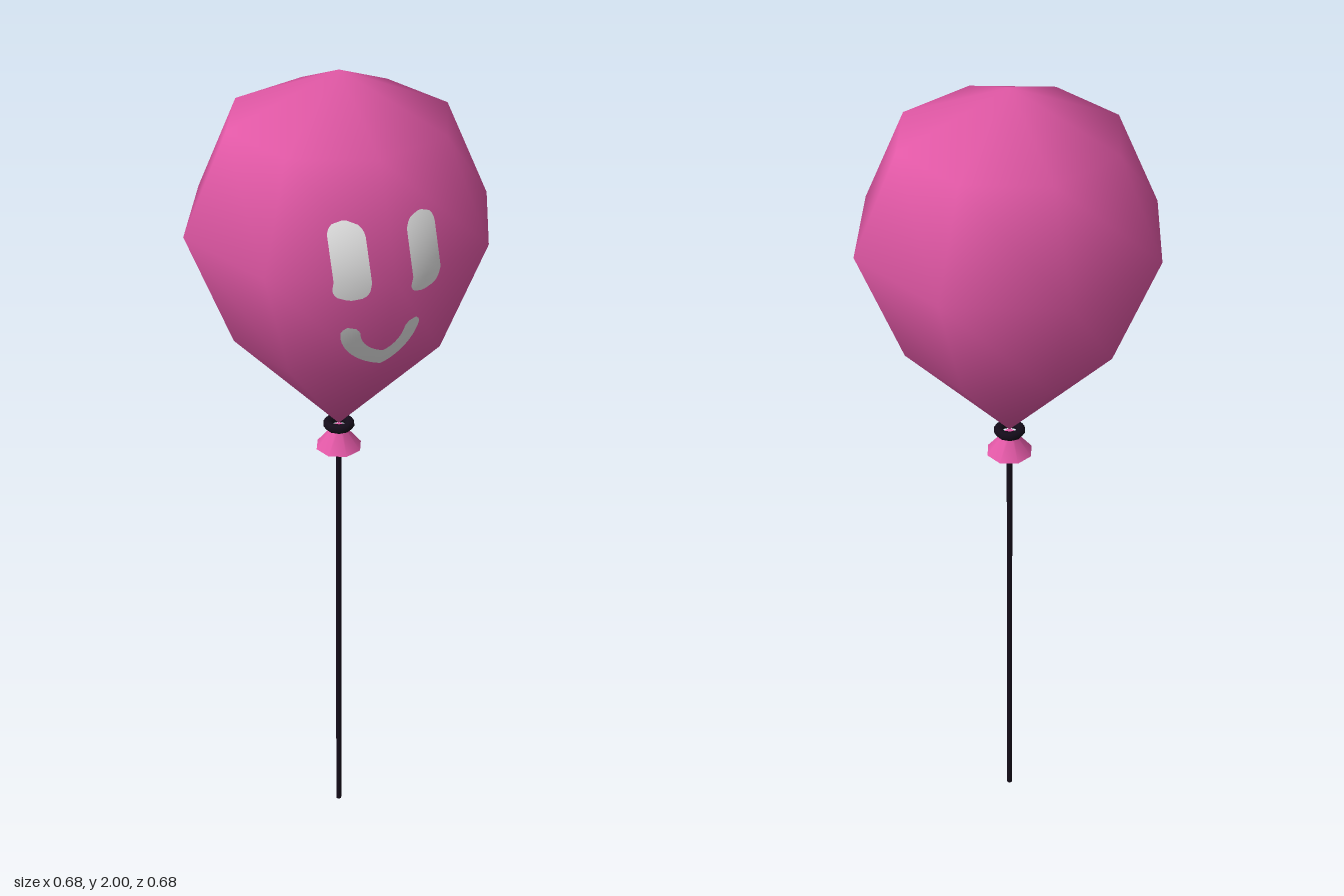
import * as THREE from 'three';
import { mergeVertices } from 'three/addons/utils/BufferGeometryUtils.js';

// Balloon profile from top to bottom: [radius, height]
const RINGS = [[0, 2], [0.24, 1.9], [0.34, 1.683], [0.24, 1.422], [0, 1.165]];
const WIDEST = RINGS[2][1];

// Depth of the eight-sided balloon's front at (x, y)
function frontZ(x, y) {
  const i = RINGS.findIndex((r, k) => k > 0 && y >= r[1]);
  const [r0, y0] = RINGS[i - 1], [r1, y1] = RINGS[i];
  const r = r0 + (r1 - r0) * (y - y0) / (y1 - y0);
  return r - Math.abs(x) * Math.tan(Math.PI / 8);
}

// Thin painted patch on the balloon's front; at(u, v) gives [x, y]
function patch(name, material, nu, nv, at) {
  const pos = [], normals = [], index = [];
  for (let i = 0; i <= nu; i++) {
    for (let j = 0; j <= nv; j++) {
      const [x, y] = at(i / nu, j / nv);
      const z = frontZ(x, y);
      const lift = (y - WIDEST) * (y > WIDEST ? 4.5 : 2.5);
      const n = new THREE.Vector3(x, lift * Math.hypot(x, z), z).normalize();
      pos.push(x, y, z + 0.003);
      normals.push(n.x, n.y, n.z);
      if (i < nu && j < nv) {
        const a = i * (nv + 1) + j, b = a + nv + 1;
        index.push(a, a + 1, b, b, a + 1, b + 1);
      }
    }
  }
  const geo = new THREE.BufferGeometry();
  geo.setAttribute('position', new THREE.Float32BufferAttribute(pos, 3));
  geo.setAttribute('normal', new THREE.Float32BufferAttribute(normals, 3));
  geo.setIndex(index);
  const mesh = new THREE.Mesh(geo, material);
  mesh.name = name;
  return mesh;
}

export function createModel() {
  const group = new THREE.Group();
  group.name = 'balloon';
  const pink = new THREE.MeshStandardMaterial({ name: 'pink rubber', color: 0xe258a6 });
  const dark = new THREE.MeshStandardMaterial({ name: 'dark string', color: 0x140c1a });
  const white = new THREE.MeshStandardMaterial({ name: 'white paint', color: 0xe8e8e8, side: THREE.DoubleSide });
  const add = (name, geo, material, y) => {
    const mesh = new THREE.Mesh(geo, material);
    mesh.name = name;
    mesh.position.y = y;
    group.add(mesh);
    return mesh;
  };

  // Balloon: coarse sphere whose rings are moved to a teardrop profile
  let body = new THREE.SphereGeometry(0.34, 8, 4);
  const p = body.attributes.position;
  for (let i = 0; i < p.count; i++) p.setY(i, RINGS[Math.floor(i / 9)][1]);
  body.deleteAttribute('uv');
  body.deleteAttribute('normal');
  body = mergeVertices(body);
  body.computeVertexNormals();
  add('balloonBody', body, pink, 0);

  // Eyes: upright rounded bars, with one row exactly on the widest ring
  const bottom = 1.635, top = 1.794, half = 0.035, corner = 0.03;
  for (const [name, cx] of [['leftEye', 0.076], ['rightEye', -0.08]]) {
    group.add(patch(name, white, 24, 2, (u, v) => {
      const y = u < 1 / 3
        ? bottom + (WIDEST - bottom) * u * 3
        : WIDEST + (top - WIDEST) * (u - 1 / 3) * 1.5;
      const inset = Math.max(0, corner - Math.min(y - bottom, top - y));
      const w = half - corner + Math.sqrt(Math.max(0, corner ** 2 - inset ** 2));
      return [cx + w * (1 - 2 * v), y];
    }));
  }

  // Smile: half ring with slightly rounded ends
  group.add(patch('smile', white, 32, 4, (u, v) => {
    const a = Math.PI * 1.5 + (u * 2 - 1) * Math.PI * 0.555;
    const end = Math.min(1, 0.45 + Math.min(u, 1 - u) * 12);
    const r = 0.067 + (v - 0.5) * 0.038 * end;
    return [r * Math.cos(a), 1.546 + r * Math.sin(a)];
  }));

  // Tied neck: dark ring above a small flared skirt
  const ring = new THREE.TorusGeometry(0.026, 0.011, 6, 10);
  ring.rotateX(Math.PI / 2);
  add('knotRing', ring, dark, 1.164);
  add('knotSkirt', new THREE.CylinderGeometry(0.01, 0.054, 0.055, 8), pink, 1.1325);

  // String
  add('string', new THREE.CylinderGeometry(0.007, 0.007, 1.12, 8), dark, 0.56);

  return group;
}
